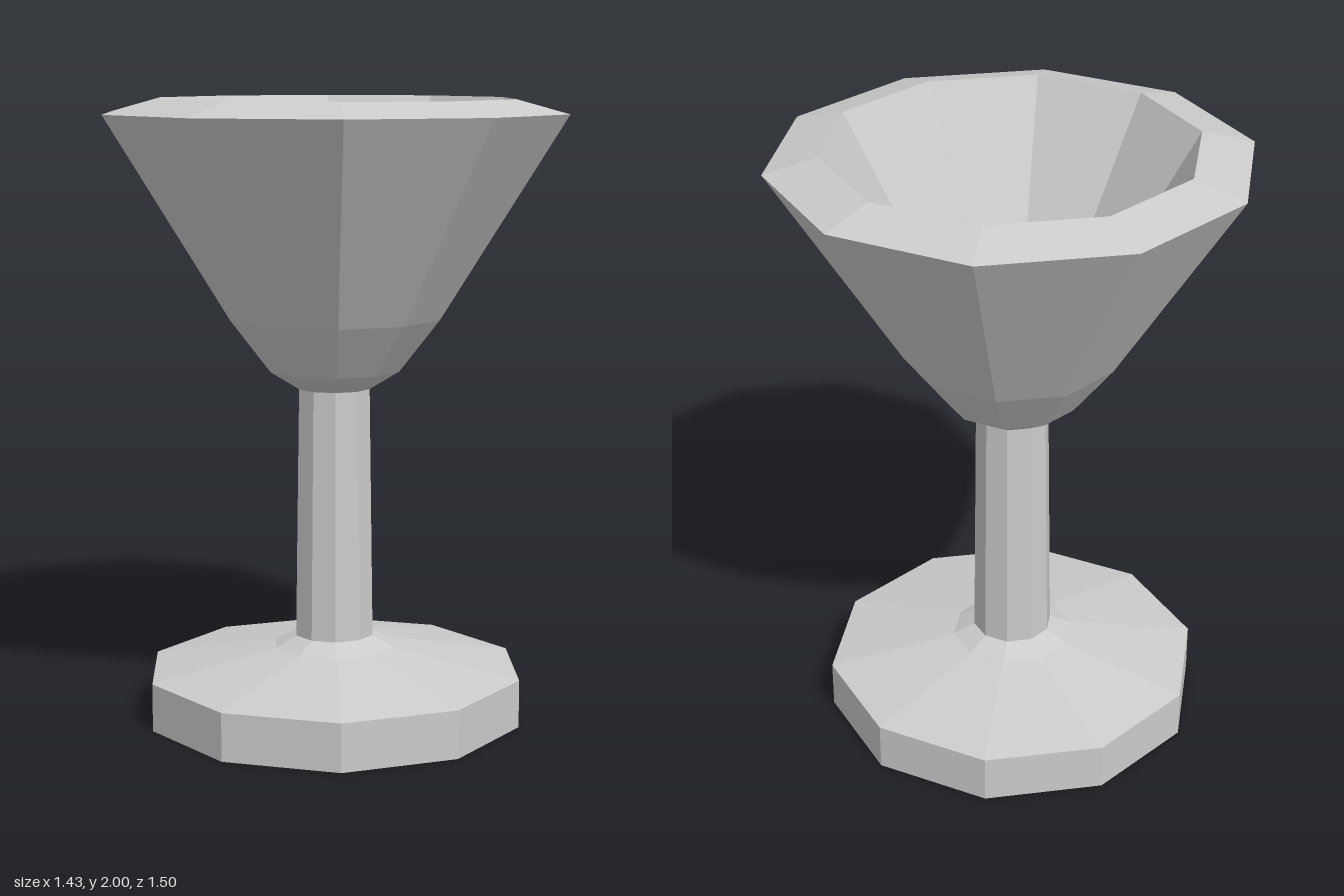
import * as THREE from 'three';

const SIDES = 10;

export function createModel() {
  const group = new THREE.Group();
  group.name = 'goblet';
  const material = new THREE.MeshStandardMaterial({ color: 0xcccccc, flatShading: true });

  // Turns a [radius, height] profile into a faceted ten-sided part
  const turn = (name, profile) => {
    const points = profile.map(([r, y]) => new THREE.Vector2(r, y));
    const mesh = new THREE.Mesh(new THREE.LatheGeometry(points, SIDES), material);
    mesh.name = name;
    group.add(mesh);
  };

  // Foot: flat underside, upright edge, shallow cone and collar
  turn('foot', [[0, 0], [0.617, 0], [0.617, 0.155], [0.2, 0.235], [0.13, 0.27]]);

  // Stem: slightly tapered column
  turn('stem', [[0.13, 0.27], [0.118, 1.08]]);

  // Bowl: outer wall, bevelled rim, then the hollow inside
  turn('bowl', [
    [0.118, 1.08], [0.215, 1.14], [0.347, 1.31], [0.75, 1.955],
    [0.583, 2], [0.18, 1.31], [0.015, 1.14], [0, 1.14],
  ]);

  return group;
}
